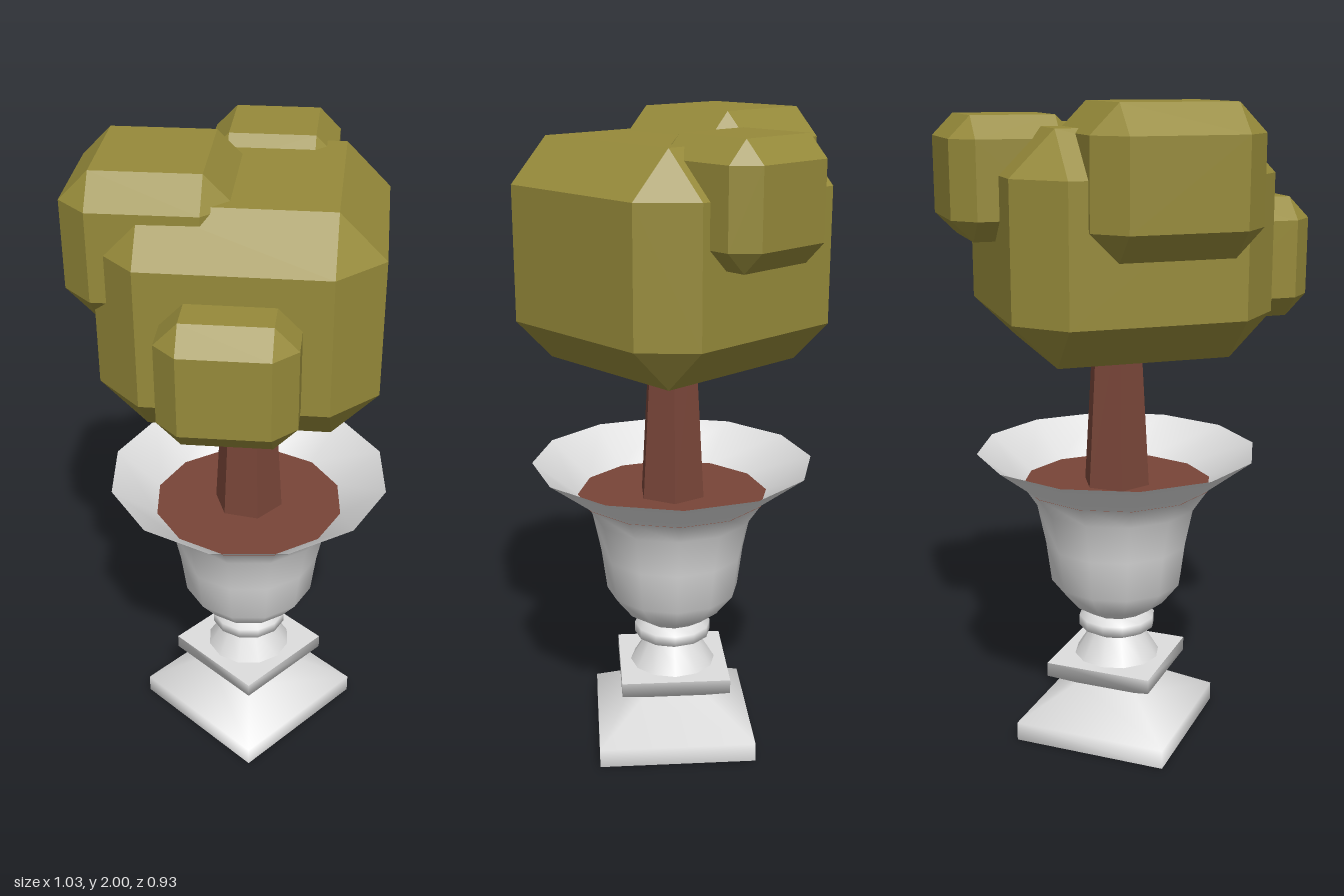
import * as THREE from 'three';
import { ConvexGeometry } from 'three/addons/geometries/ConvexGeometry.js';

// Box with every edge chamfered by c; flat faces
function chamferBox(w, h, d, c) {
  const half = [w / 2, h / 2, d / 2];
  const pts = [];
  for (let axis = 0; axis < 3; axis++)
    for (const sx of [-1, 1]) for (const sy of [-1, 1]) for (const sz of [-1, 1]) {
      const [x, y, z] = half.map((v, i) => (i === axis ? v : v - c));
      pts.push(new THREE.Vector3(sx * x, sy * y, sz * z));
    }
  return new ConvexGeometry(pts);
}

export function createModel() {
  const group = new THREE.Group();
  const material = (name, color) => {
    const m = new THREE.MeshStandardMaterial({ color });
    m.name = name;
    return m;
  };
  const stone = material('stone', 0xdedede);
  stone.side = THREE.DoubleSide;
  const wood = material('wood', 0x784538);
  const leaves = material('leaves', 0x968a3a);
  wood.flatShading = true;

  const cx = 0.007; // planter axis
  const add = (name, geometry, mat, x = cx, y = 0, z = 0, turn = 0) => {
    const mesh = new THREE.Mesh(geometry, mat);
    mesh.name = name;
    mesh.position.set(x, y, z);
    mesh.rotation.y = turn;
    group.add(mesh);
  };
  const profile = (pts, k = 1) => pts.map(([r, y]) => new THREE.Vector2(r * k, y));
  const round = (pts) => new THREE.LatheGeometry(profile(pts), 12);
  // Square sections: radii are given as half widths
  const square = (pts) => new THREE.LatheGeometry(profile(pts, Math.SQRT2), 4, Math.PI / 4);

  // Square foot and plate
  add('footUnderside', square([[0, 0], [0.247, 0]]), stone);
  add('foot', square([[0.247, 0], [0.247, 0.06], [0.1, 0.16]]), stone);
  add('plate', square([[0.1, 0.16], [0.172, 0.205], [0.172, 0.25]]), stone);
  add('plateTop', square([[0.172, 0.25], [0, 0.25]]), stone);

  // Round stem, ring and bowl
  add('stem', round([[0.137, 0.25], [0.085, 0.335]]), stone);
  add('ring', round([[0.085, 0.33], [0.122, 0.35], [0.122, 0.383], [0.09, 0.402]]), stone);
  add('bowl', round([[0.09, 0.398], [0.155, 0.44], [0.21, 0.51], [0.227, 0.64],
    [0.253, 0.765], [0.3, 0.835], [0.437, 0.94]]), stone);

  // Soil and tapering trunk
  add('soil', round([[0.3, 0.832], [0, 0.832]]), wood);
  add('trunk', new THREE.CylinderGeometry(0.075, 0.108, 0.55, 6), wood, cx, 1.105, 0, Math.PI / 2);

  // Blocky foliage: w, h, d, chamfer, x, y, z, turn
  const clumps = {
    mainFoliage: [0.78, 0.66, 0.78, 0.13, 0.004, 1.6, 0, 0.683],
    backFoliage: [0.506, 0.42, 0.466, 0.083, -0.188, 1.79, -0.162, 0.695],
    leftFoliage: [0.37, 0.35, 0.375, 0.063, 0.291, 1.786, -0.173, 0.69],
    rightFoliage: [0.375, 0.36, 0.375, 0.065, -0.291, 1.538, 0.232, 0.69],
  };
  for (const [name, [w, h, d, c, x, y, z, turn]] of Object.entries(clumps))
    add(name, chamferBox(w, h, d, c), leaves, x, y, z, turn);

  return group;
}
